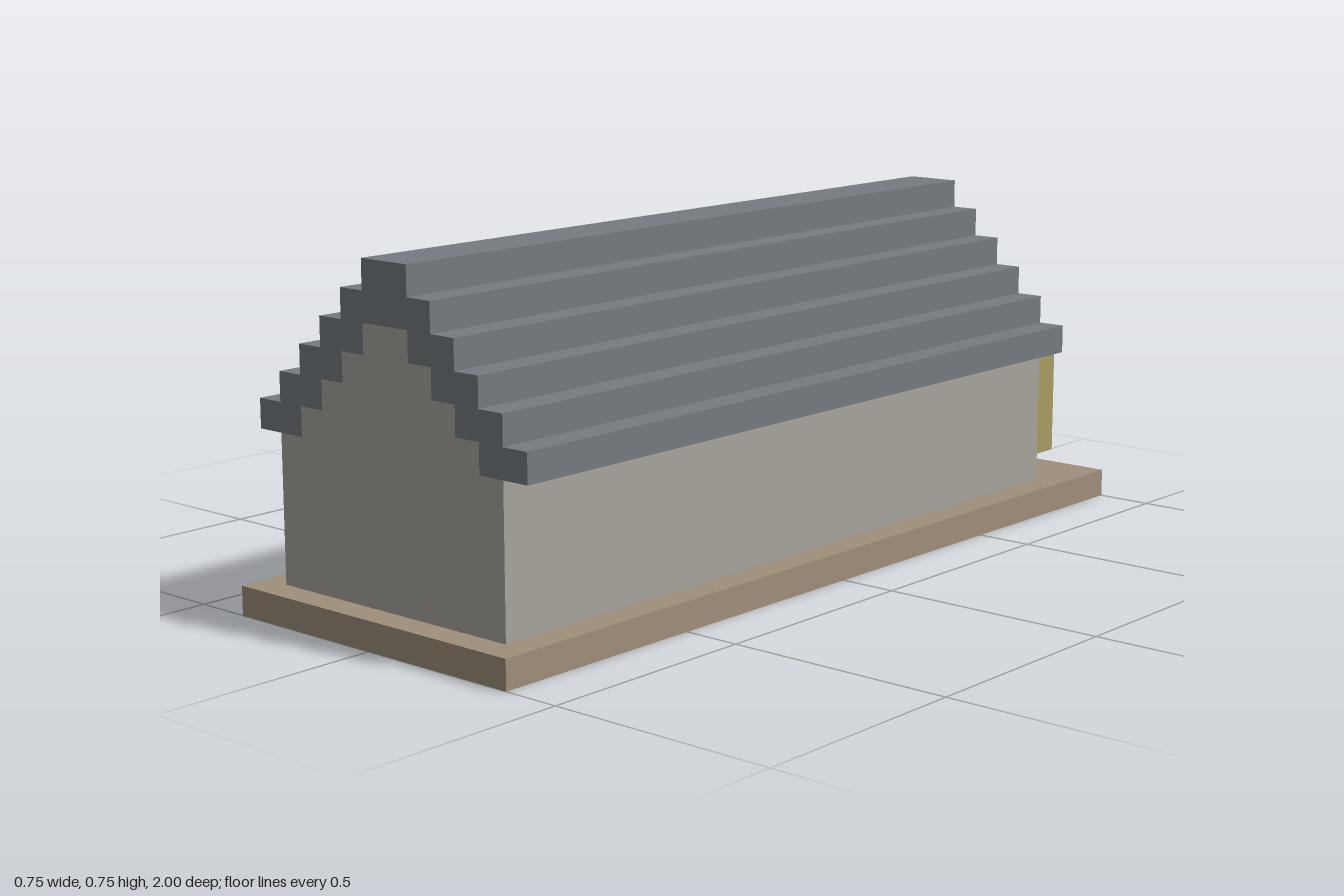
import * as THREE from 'three';

const U = 1 / 16; // one block

export function createModel() {
  const model = new THREE.Group();
  const paint = (color, side = THREE.FrontSide) => new THREE.MeshStandardMaterial({ color, side });
  const stone = paint(0xa9a59e, THREE.DoubleSide);
  const earth = paint(0xa08f7c, THREE.DoubleSide);
  const slate = paint(0x757b81);
  const wood = paint(0xa08068);
  const darkWood = paint(0x78604e);
  const yellow = paint(0xa99d63);

  const add = (name, geometry, material, parent = model) => {
    const mesh = new THREE.Mesh(geometry, material);
    mesh.name = name;
    parent.add(mesh);
    return mesh;
  };
  // Box given by its lower and upper corners, in blocks
  const block = (name, a, b, material, parent) => {
    const size = b.map((v, i) => (v - a[i]) * U);
    const mesh = add(name, new THREE.BoxGeometry(...size), material, parent);
    mesh.position.set(...b.map((v, i) => ((v + a[i]) / 2) * U));
  };
  const toPoints = (list) => list.map(([x, y]) => new THREE.Vector2(x * U, y * U));
  const rect = (x0, y0, x1, y1) => toPoints([[x0, y0], [x1, y0], [x1, y1], [x0, y1]]);
  // Mirror the right half of an outline across x = 0
  const mirrored = (half) => toPoints([...half, ...half.map(([x, y]) => [-x, y]).reverse()]);
  // Thin upright sheets around a rectangular footprint, open above and below
  const ring = (name, x0, x1, z0, z1, y0, y1, material) => {
    const group = new THREE.Group();
    group.name = name;
    model.add(group);
    for (const x of [x0, x1]) {
      const side = add('side', new THREE.PlaneGeometry((z1 - z0) * U, (y1 - y0) * U), material, group);
      side.rotation.y = Math.PI / 2 * Math.sign(x);
      side.position.set(x * U, (y0 + y1) / 2 * U, (z0 + z1) / 2 * U);
    }
    for (const z of [z0, z1]) {
      const end = add('end', new THREE.PlaneGeometry((x1 - x0) * U, (y1 - y0) * U), material, group);
      end.rotation.y = z === z0 ? Math.PI : 0;
      end.position.set((x0 + x1) / 2 * U, (y0 + y1) / 2 * U, z * U);
    }
  };

  // Base: open underneath, with a terrace around the house and a floor inside
  ring('baseRim', -6, 6, -16, 16, 0, 1, earth);
  const terrace = new THREE.Shape(rect(-6, -16, 6, 16));
  terrace.holes.push(new THREE.Path(rect(-5, -15, 5, 13)));
  const flat = (shape) => new THREE.ShapeGeometry(shape).rotateX(-Math.PI / 2).translate(0, U, 0);
  add('terrace', flat(terrace), earth);
  add('floor', flat(new THREE.Shape(rect(-4, -14, 4, 12))), earth);

  // Hollow walls: outer and inner skins
  ring('outerWalls', -5, 5, -13, 15, 1, 6, stone);
  ring('innerWalls', -4, 4, -12, 14, 1, 6, stone);

  // Stepped gables and roof
  const gable = [];
  for (let i = 0; i < 4; i++) gable.push([4 - i, 6 + i], [4 - i, 7 + i]);
  for (const [name, z, turn] of [['frontGable', 15, 0], ['backGable', -13, Math.PI]]) {
    const mesh = add(name, new THREE.ShapeGeometry(new THREE.Shape(mirrored(gable))), stone);
    mesh.position.z = z * U;
    mesh.rotation.y = turn;
  }
  const roof = [];
  for (let i = 0; i < 4; i++) roof.push([1 + i, 10 - i], [1 + i, 9 - i]);
  for (let i = 0; i < 6; i++) roof.push([6 - i, 6 + i], [6 - i, 7 + i]);
  add('roof', new THREE.ExtrudeGeometry(new THREE.Shape(mirrored(roof)), { depth: 28 * U, bevelEnabled: false })
    .translate(0, 0, -13 * U), slate);

  // Back entrance: raised board, its wooden panel with dark slots, and the door below
  const entrance = new THREE.Group();
  entrance.name = 'backEntrance';
  model.add(entrance);
  block('board', [-5, 2, -14], [5, 6, -13], yellow, entrance);
  block('panel', [-4, 2, -14.02], [4, 5, -13.9], wood, entrance);
  for (const x of [-3.5, 2.5]) block('slot', [x, 3, -14.04], [x + 1, 5, -14], darkWood, entrance);
  block('slotTop', [-1, 4, -14.04], [1, 5, -14], darkWood, entrance);
  for (const x of [-1, 0.5]) block('slotSide', [x, 3, -14.04], [x + 0.5, 4, -14], darkWood, entrance);
  block('door', [-1, 1, -13.04], [2, 2, -12.9], darkWood, entrance);

  // Low beam beside the entrance
  [0x94785f, 0x7d624c, 0xa58468].forEach((color, i) =>
    block('beam', [-5, 1, -16 + i], [-4, 2, -15 + i], paint(color), entrance));

  return model;
}
